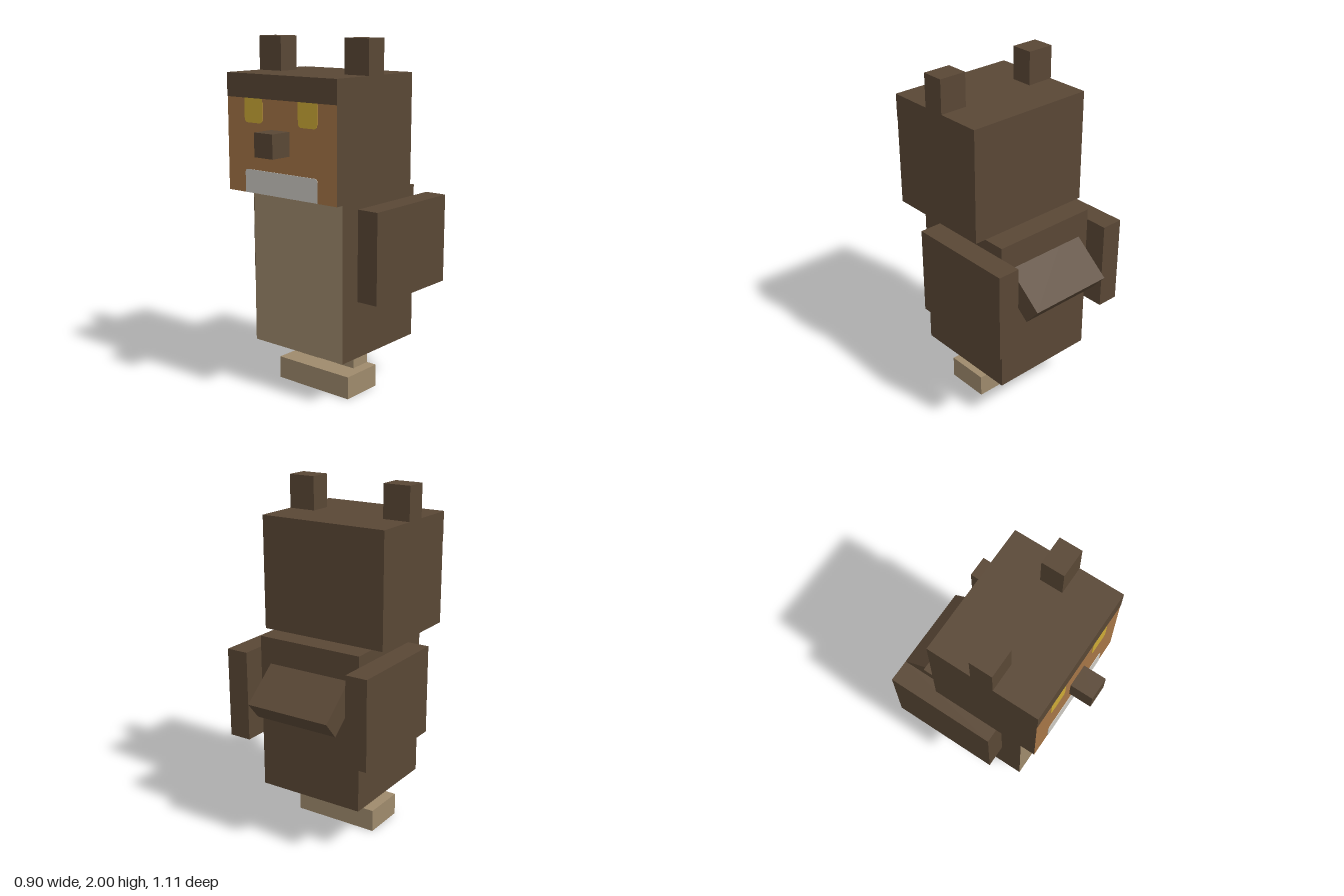
import * as THREE from 'three';

const mat = (name, color) => {
  const m = new THREE.MeshStandardMaterial({ color });
  m.name = name;
  return m;
};

export function createModel() {
  const owl = new THREE.Group();
  owl.name = 'blockOwl';
  const brown = mat('dark brown feathers', 0x594735);
  const tan = mat('tan belly', 0x9e8a6c);
  const orange = mat('orange face', 0xa57546);
  const yellow = mat('yellow eyes', 0xcdaa36);
  const white = mat('pale chin', 0xcdcac3);

  // Box given by its minimum and maximum on each axis
  const box = (name, material, [x0, x1], [y0, y1], [z0, z1]) => {
    const mesh = new THREE.Mesh(new THREE.BoxGeometry(x1 - x0, y1 - y0, z1 - z0), material);
    mesh.position.set((x0 + x1) / 2, (y0 + y1) / 2, (z0 + z1) / 2);
    mesh.name = name;
    owl.add(mesh);
    return mesh;
  };

  // Thin plate with top and bottom corner radii, centred on its own origin
  const plate = (name, material, w, h, top, bottom) => {
    const x = w / 2, y = h / 2;
    const s = new THREE.Shape();
    s.moveTo(-x + bottom, -y).lineTo(x - bottom, -y).quadraticCurveTo(x, -y, x, -y + bottom);
    s.lineTo(x, y - top).quadraticCurveTo(x, y, x - top, y);
    s.lineTo(-x + top, y).quadraticCurveTo(-x, y, -x, y - top);
    s.lineTo(-x, -y + bottom).quadraticCurveTo(-x, -y, -x + bottom, -y);
    const geo = new THREE.ExtrudeGeometry(s, { depth: 0.004, bevelEnabled: false, curveSegments: 5 });
    const mesh = new THREE.Mesh(geo, material);
    mesh.name = name;
    owl.add(mesh);
    return mesh;
  };

  // Head and body, each with a coloured front face
  const frontOnly = (front) => [brown, brown, brown, brown, front, brown];
  box('head', frontOnly(orange), [-0.387, 0.387], [1.163, 1.81], [-0.216, 0.425]);
  box('body', frontOnly(tan), [-0.322, 0.322], [0.262, 1.163], [-0.345, 0.3]);

  // Face details
  plate('brow', brown, 0.774, 0.13, 0, 0).position.set(0, 1.745, 0.424);
  plate('chin', white, 0.516, 0.129, 0.02, 0).position.set(0, 1.2285, 0.424);
  box('beak', brown, [-0.0645, 0.0645], [1.39, 1.52], [0.42, 0.555]);

  // Paired parts
  for (const side of [1, -1]) {
    const span = (a, b) => (side > 0 ? [a, b] : [-b, -a]);
    const label = side > 0 ? 'left' : 'right';
    plate(label + 'Eye', yellow, 0.13, 0.132, 0, 0.025).position.set(side * 0.192, 1.614, 0.424);
    box(label + 'Ear', brown, span(0.225, 0.387), [1.81, 2], [0.04, 0.17]);
    box(label + 'Wing', brown, span(0.322, 0.452), [0.585, 1.1], [-0.475, 0.17]);
    box(label + 'Leg', tan, span(0.065, 0.194), [0.13, 0.262], [-0.087, 0.042]);
  }

  // Feet slab
  box('feet', tan, [-0.257, 0.257], [0, 0.13], [-0.087, 0.17]);

  // Rounded tan patch under the body
  const patch = plate('underbellyPatch', tan, 0.387, 0.387, 0.06, 0.06);
  patch.rotation.x = Math.PI / 2;
  patch.position.set(0, 0.262, -0.022);

  // Sloping tail
  const tail = box('tail', brown, [-0.257, 0.257], [0.8475, 0.9765], [-0.5585, -0.1715]);
  tail.rotation.x = -0.698;

  return owl;
}
